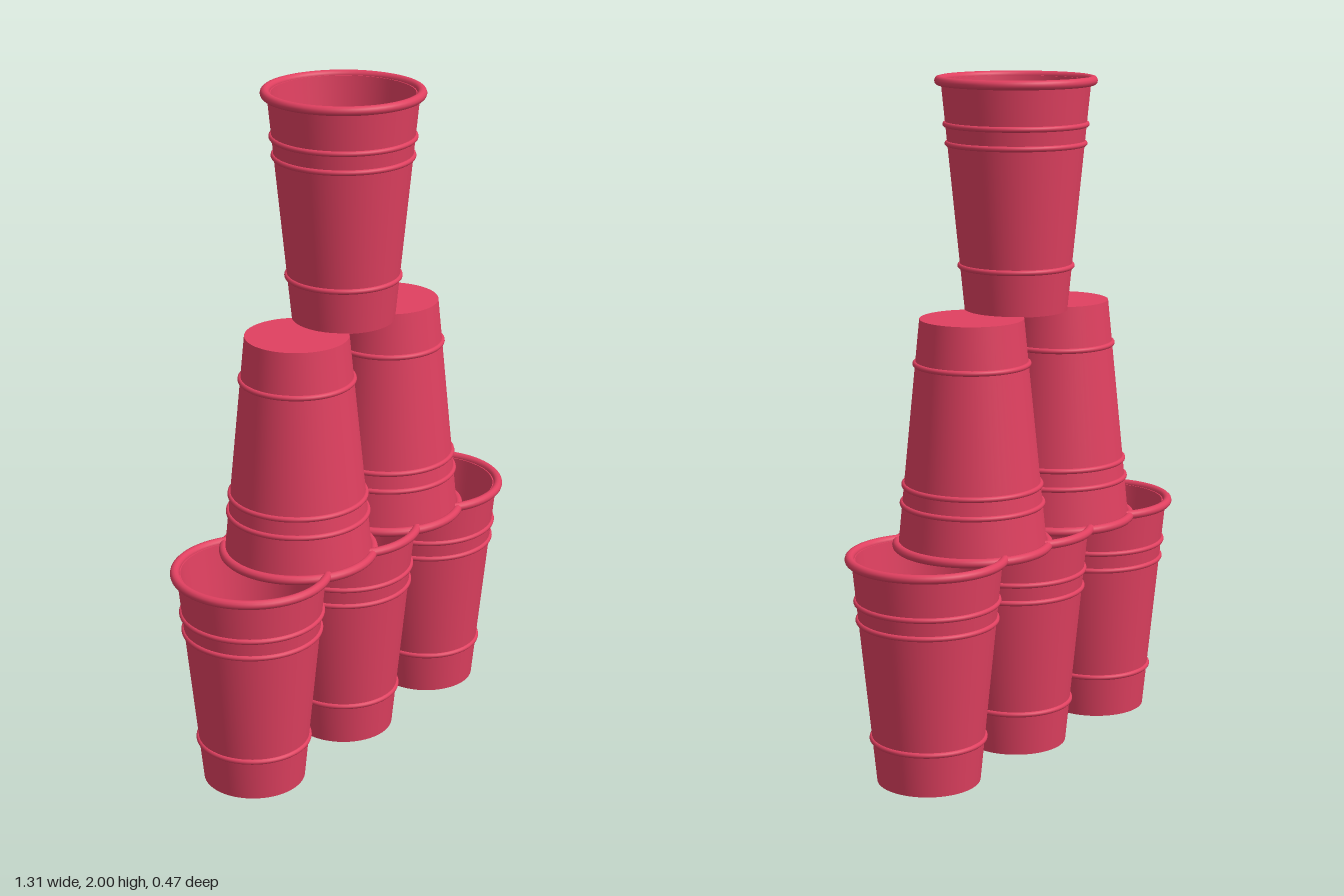
import * as THREE from 'three';
import { toCreasedNormals } from 'three/addons/utils/BufferGeometryUtils.js';

const SEGMENTS = 64;
const RIM_Y = 0.664, BASE_R = 0.15, TOP_R = 0.216;
const SPACING = 0.4225, TIER_Y = 1.325;

const wallRadius = (y) => BASE_R + (TOP_R - BASE_R) * (y / RIM_Y);

export function createModel() {
  const group = new THREE.Group();
  group.name = 'cupPyramid';
  const material = new THREE.MeshStandardMaterial({ color: 0xe04060 });

  // Hollow tapered wall with a closed floor
  const profile = [
    [0, 0], [BASE_R, 0], [TOP_R, RIM_Y], [TOP_R - 0.012, RIM_Y], [0.134, 0.015], [0, 0.015],
  ].map(([r, y]) => new THREE.Vector2(r, y));
  const body = toCreasedNormals(new THREE.LatheGeometry(profile, SEGMENTS), 0.6);

  // Horizontal ring lying around the wall
  const ring = (radius, tube, y) =>
    new THREE.TorusGeometry(radius, tube, 12, SEGMENTS).rotateX(Math.PI / 2).translate(0, y, 0);

  const rim = ring(0.221, 0.0135, RIM_Y);
  const ridges = [0.13, 0.485, 0.54].map((y) => ring(wallRadius(y), 0.008, y));

  function addCup(name, x, y, inverted) {
    const cup = new THREE.Group();
    cup.name = name;
    const add = (geometry, part) => {
      const mesh = new THREE.Mesh(geometry, material);
      mesh.name = part;
      cup.add(mesh);
    };
    add(body, 'cupBody');
    add(rim, 'rolledRim');
    ridges.forEach((g, i) => add(g, `ridge${i + 1}`));
    cup.position.set(x, y, 0);
    if (inverted) cup.rotation.x = Math.PI;
    group.add(cup);
  }

  // Bottom row upright, middle row upside down, one upright on top
  [-1, 0, 1].forEach((i) => addCup(`bottomCup${i + 2}`, i * SPACING, 0, false));
  [-0.5, 0.5].forEach((i) => addCup(`middleCup${i + 1.5}`, i * SPACING, TIER_Y, true));
  addCup('topCup', 0, TIER_Y - 0.002, false);

  return group;
}
